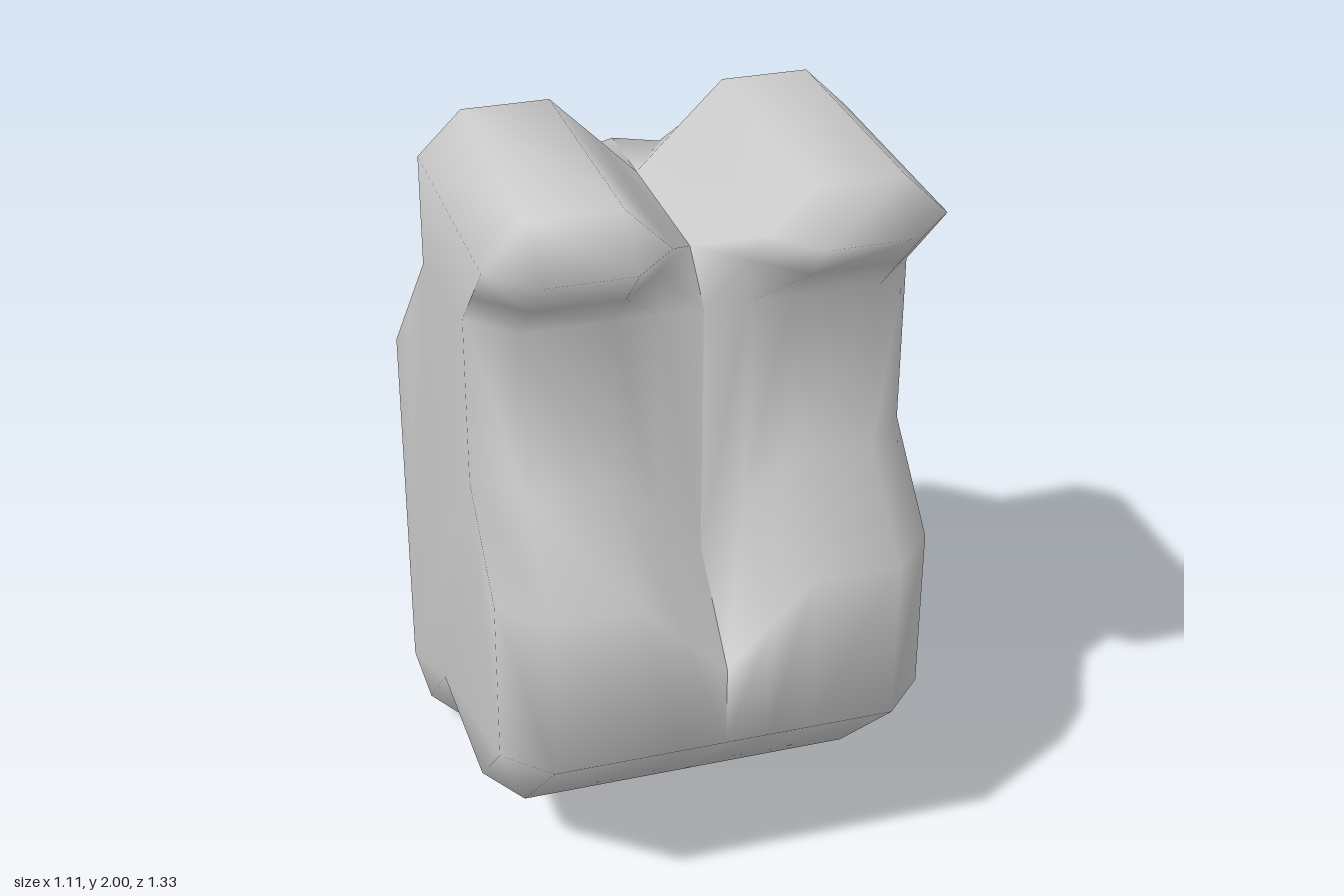
import * as THREE from 'three';
import { mergeVertices } from 'three/addons/utils/BufferGeometryUtils.js';

// Side outlines as [z, y] points: top front, over the back, along the base, up the front.
const main = [
  [0.667, 1.89], [0.555, 2], [-0.11, 2], [-0.222, 1.89], [-0.222, 1.667], [-0.444, 1.444],
  [-0.667, 1.222], [-0.667, 0.111], [-0.555, 0], [-0.333, 0], [-0.111, 0.222], [0.333, 0.222],
  [0.667, 0.555], [0.667, 1], [0.444, 1.222], [0.444, 1.667], [0.555, 1.778],
];
// Returns the main outline with some points replaced.
const vary = (changes) => main.map((p, i) => changes[i] || p);

// Centre line: groove floor, small rear bump and lowered belly
const centre = vary({
  0: [0.333, 1.778], 1: [0.333, 1.778], 2: [-0.111, 1.778], 3: [-0.333, 1.778], 4: [-0.444, 1.667],
  13: [0.667, 0.778], 14: [0.444, 1], 16: [0.333, 1.778],
});
// Inner wall of the raised top lobe
const inner = vary({
  0: [0.555, 1.89], 1: [0.555, 1.89], 2: [-0.111, 1.89], 3: [-0.28, 1.778], 4: [-0.333, 1.667],
  13: [0.667, 0.889], 14: [0.444, 1.111], 16: [0.444, 1.778],
});
// Outer side face, inset by the edge chamfer
const outer = [
  [0.555, 1.89], [0.555, 1.89], [-0.111, 1.89], [-0.111, 1.89], [-0.111, 1.6], [-0.333, 1.38],
  [-0.555, 1.16], [-0.555, 0.111], [-0.555, 0.111], [-0.333, 0.111], [-0.111, 0.333], [0.333, 0.333],
  [0.555, 0.555], [0.555, 1], [0.333, 1.222], [0.333, 1.667], [0.444, 1.778],
];
const sections = [[0, centre], [0.111, inner], [0.222, main], [0.444, main], [0.555, outer]];

function halfGeometry(side) {
  const n = main.length;
  const positions = [];
  const triangles = [];
  for (const [x, outline] of sections) {
    for (const [z, y] of outline) positions.push(side * x, y, z);
  }
  // Skin between neighbouring sections
  for (let i = 0; i < sections.length - 1; i++) {
    for (let j = 0; j < n; j++) {
      const k = (j + 1) % n;
      const a = i * n + j, b = i * n + k, c = b + n, d = a + n;
      triangles.push([a, d, c], [a, c, b]);
    }
  }
  // Flat side cap
  const contour = outer.map(([z, y]) => new THREE.Vector2(z, y));
  const base = (sections.length - 1) * n;
  for (const [a, b, c] of THREE.ShapeUtils.triangulateShape(contour.slice(), [])) {
    const area = THREE.ShapeUtils.area([contour[a], contour[b], contour[c]]);
    triangles.push(area > 0 ? [base + a, base + c, base + b] : [base + a, base + b, base + c]);
  }
  let geometry = new THREE.BufferGeometry();
  geometry.setAttribute('position', new THREE.Float32BufferAttribute(positions, 3));
  geometry.setIndex(triangles.flatMap(([a, b, c]) => (side > 0 ? [a, b, c] : [a, c, b])));
  geometry = mergeVertices(geometry, 1e-4);
  // Drop triangles collapsed by shared points
  const index = Array.from(geometry.index.array);
  const kept = [];
  for (let i = 0; i < index.length; i += 3) {
    const [a, b, c] = index.slice(i, i + 3);
    if (a !== b && b !== c && a !== c) kept.push(a, b, c);
  }
  geometry.setIndex(kept);
  geometry.computeVertexNormals();
  return geometry;
}

export function createModel() {
  const group = new THREE.Group();
  group.name = 'torso';
  const material = new THREE.MeshStandardMaterial({ color: 0xcccccc });
  // Mirrored halves meet in a crease along the middle
  for (const [name, side] of [['leftHalf', 1], ['rightHalf', -1]]) {
    const half = new THREE.Mesh(halfGeometry(side), material);
    half.name = name;
    group.add(half);
  }
  return group;
}
